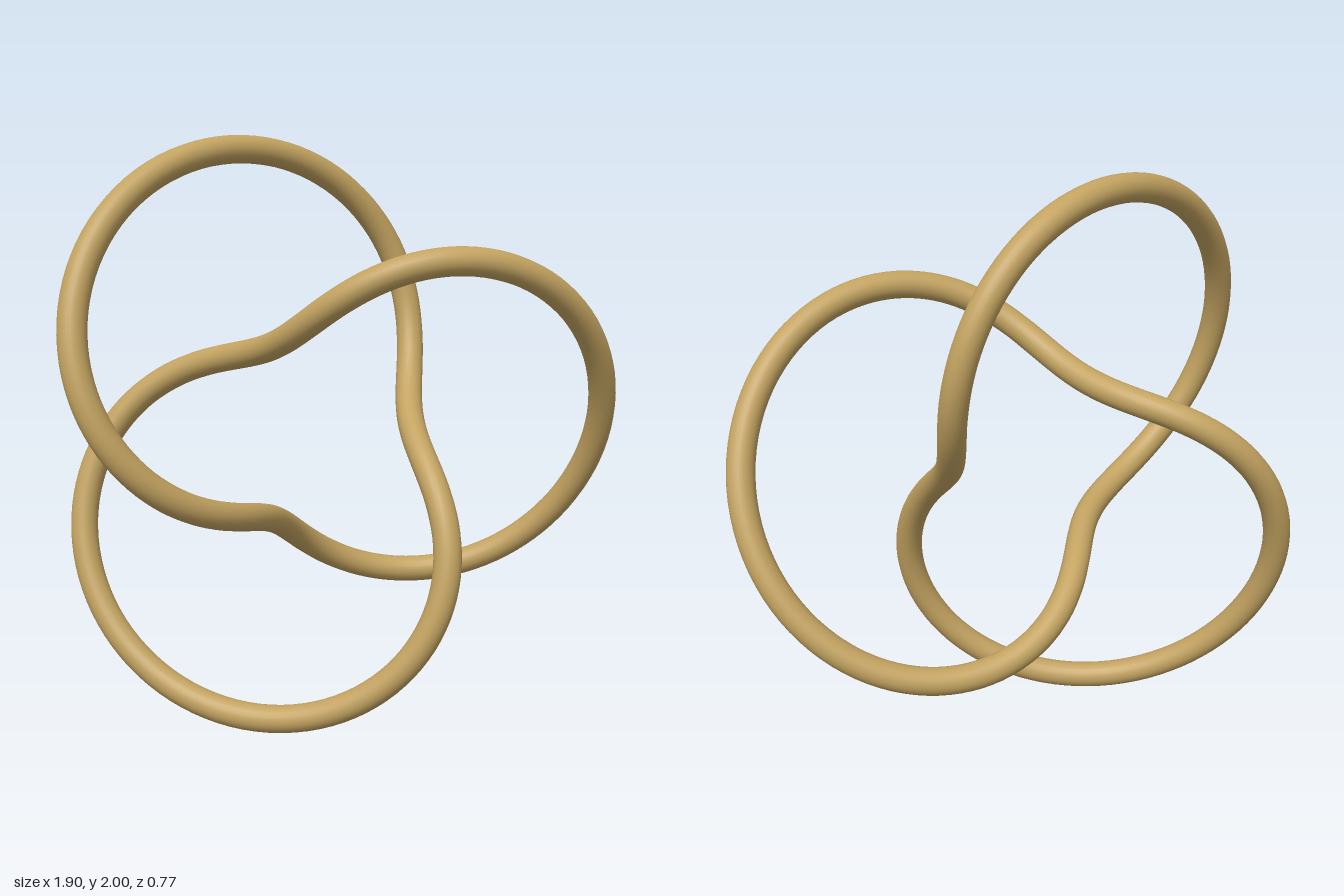
import * as THREE from 'three';

export function createModel() {
  const group = new THREE.Group();
  group.name = 'trefoilKnot';

  // One closed round tube wound twice round and three times through a torus
  const material = new THREE.MeshStandardMaterial({ color: 0xc2a260 });
  const geometry = new THREE.TorusKnotGeometry(0.6737, 0.047, 320, 24, 2, 3);
  const knot = new THREE.Mesh(geometry, material);
  knot.name = 'knotTube';

  // Stand the knot on the ground and centre it
  geometry.computeBoundingBox();
  const box = geometry.boundingBox;
  const centre = box.getCenter(new THREE.Vector3());
  knot.position.set(-centre.x, -box.min.y, -centre.z);

  group.add(knot);
  return group;
}
